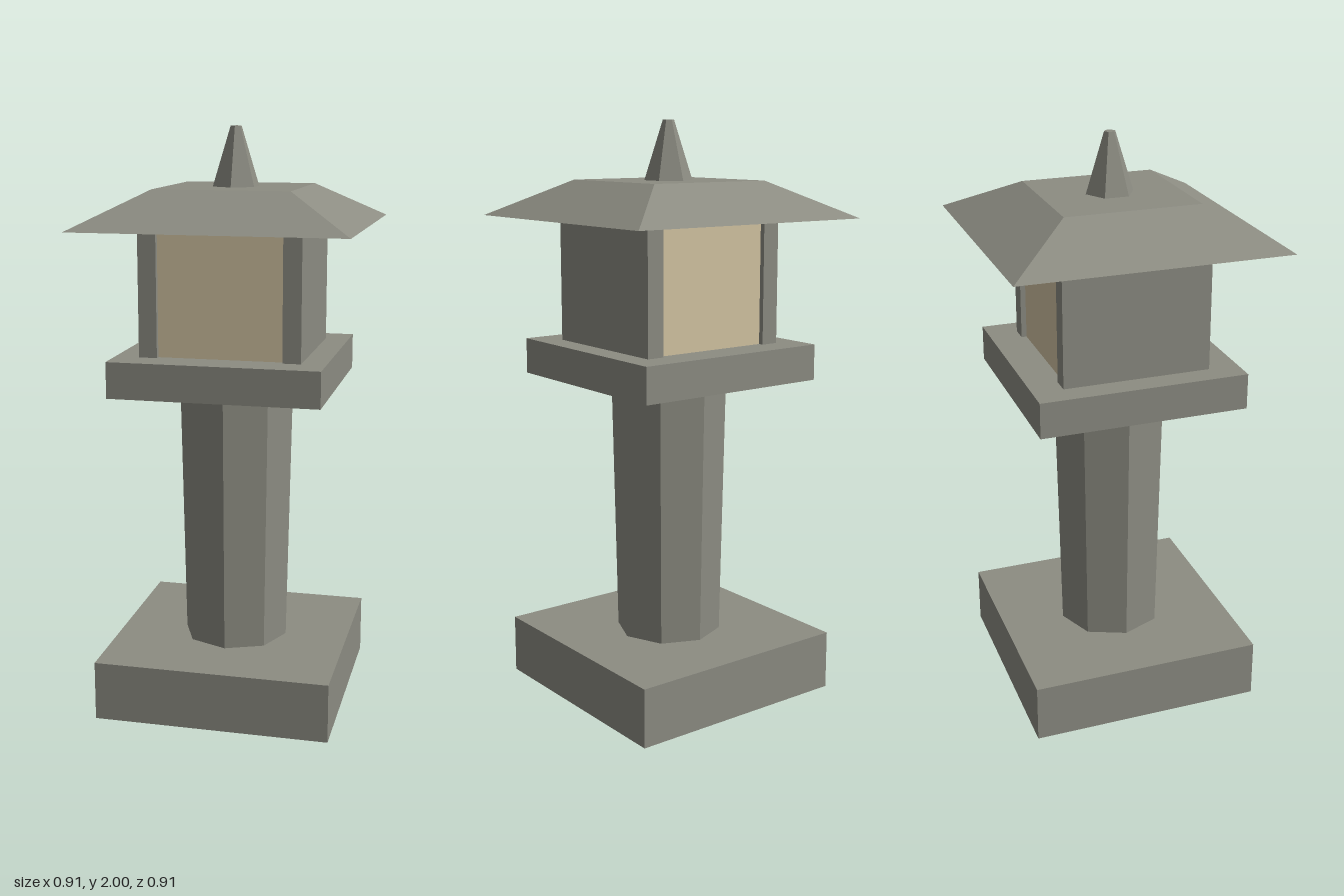
import * as THREE from 'three';

export function createModel() {
  const model = new THREE.Group();
  model.name = 'stoneLantern';

  const stone = new THREE.MeshStandardMaterial({ color: 0x8c8c82, flatShading: true });
  stone.name = 'stone';
  const paper = new THREE.MeshStandardMaterial({ color: 0xd2c3a2, flatShading: true });
  paper.name = 'paper';

  // Place a geometry so that its underside sits at height y0
  const add = (name, geometry, material, height, y0, x = 0) => {
    const mesh = new THREE.Mesh(geometry, material);
    mesh.name = name;
    mesh.position.set(x, y0 + height / 2, 0);
    model.add(mesh);
    return mesh;
  };
  const block = (name, w, h, d, y0, material = stone, x = 0) =>
    add(name, new THREE.BoxGeometry(w, h, d), material, h, y0, x);
  const taper = (name, rTop, rBottom, h, sides, y0) =>
    add(name, new THREE.CylinderGeometry(rTop, rBottom, h, sides), stone, h, y0);

  // Foot, octagonal shaft and platform
  block('base', 0.81, 0.205, 0.81, 0);
  taper('shaft', 0.202, 0.184, 0.92, 8, 0.205);
  block('platform', 0.714, 0.123, 0.714, 1.125);

  // Lamp chamber: two side walls with a paper screen showing front and back
  block('screen', 0.424, 0.412, 0.47, 1.248, paper);
  for (const side of [-1, 1]) {
    block(side > 0 ? 'leftWall' : 'rightWall', 0.062, 0.42, 0.506, 1.248, stone, side * 0.243);
  }

  // Square hipped roof with a flat top, raised just clear of the walls
  const roof = taper('roof', 0.23 * Math.SQRT2, 0.457 * Math.SQRT2, 0.123, 4, 1.677);
  roof.rotation.y = Math.PI / 4;

  // Hexagonal finial
  taper('finial', 0.019, 0.082, 0.2, 6, 1.8);

  return model;
}
